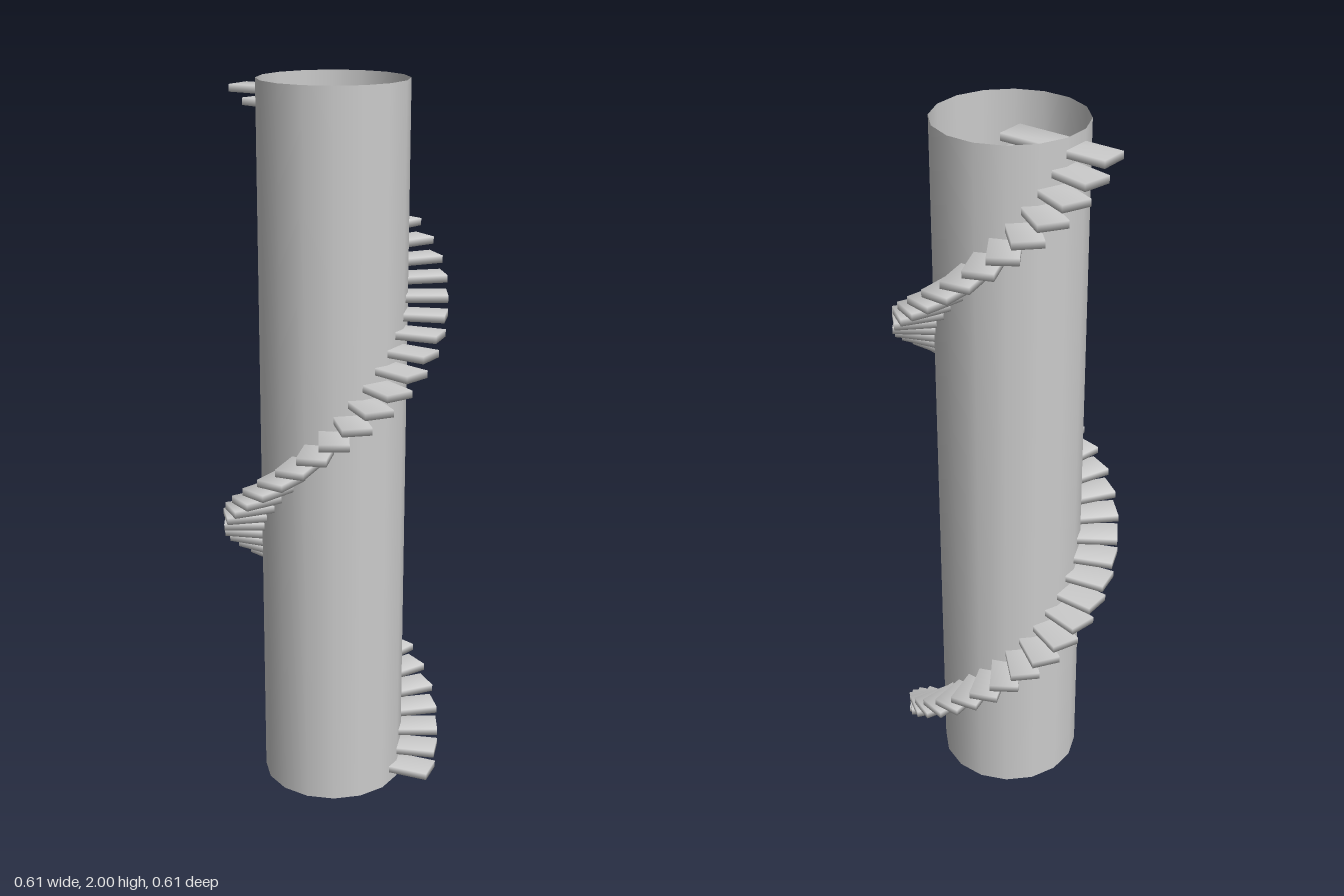
import * as THREE from 'three';
import { mergeVertices } from 'three/addons/utils/BufferGeometryUtils.js';

const HEIGHT = 2, TUBE_RADIUS = 0.2;
const STEPS = 48, STEPS_PER_TURN = 32, RISE = HEIGHT / (STEPS + 1);
const STEP_LENGTH = 0.305, STEP_WIDTH = 0.08, STEP_THICKNESS = 0.02;

// Slab reaching outward from the axis, with softly blended normals
function stepGeometry() {
  const box = new THREE.BoxGeometry(STEP_LENGTH, STEP_THICKNESS, STEP_WIDTH);
  box.translate(STEP_LENGTH / 2, 0, 0);
  box.deleteAttribute('normal');
  box.deleteAttribute('uv');
  const merged = mergeVertices(box);
  merged.computeVertexNormals();
  return merged;
}

export function createModel() {
  const model = new THREE.Group();
  model.name = 'spiralStaircase';

  // Hollow central column, open at both ends
  const column = new THREE.Mesh(
    new THREE.CylinderGeometry(TUBE_RADIUS, TUBE_RADIUS, HEIGHT, 16, 1, true),
    new THREE.MeshStandardMaterial({ color: 0xcccccc, side: THREE.DoubleSide })
  );
  column.name = 'column';
  column.position.y = HEIGHT / 2;
  model.add(column);

  // Treads winding one and a half turns up the column
  const treads = new THREE.Group();
  treads.name = 'treads';
  const geometry = stepGeometry();
  const material = new THREE.MeshStandardMaterial({ color: 0xcccccc });
  for (let i = 0; i < STEPS; i++) {
    const tread = new THREE.Mesh(geometry, material);
    tread.name = `tread${i + 1}`;
    tread.position.y = (i + 1) * RISE;
    tread.rotation.y = (i / STEPS_PER_TURN) * Math.PI * 2;
    treads.add(tread);
  }
  model.add(treads);

  return model;
}
